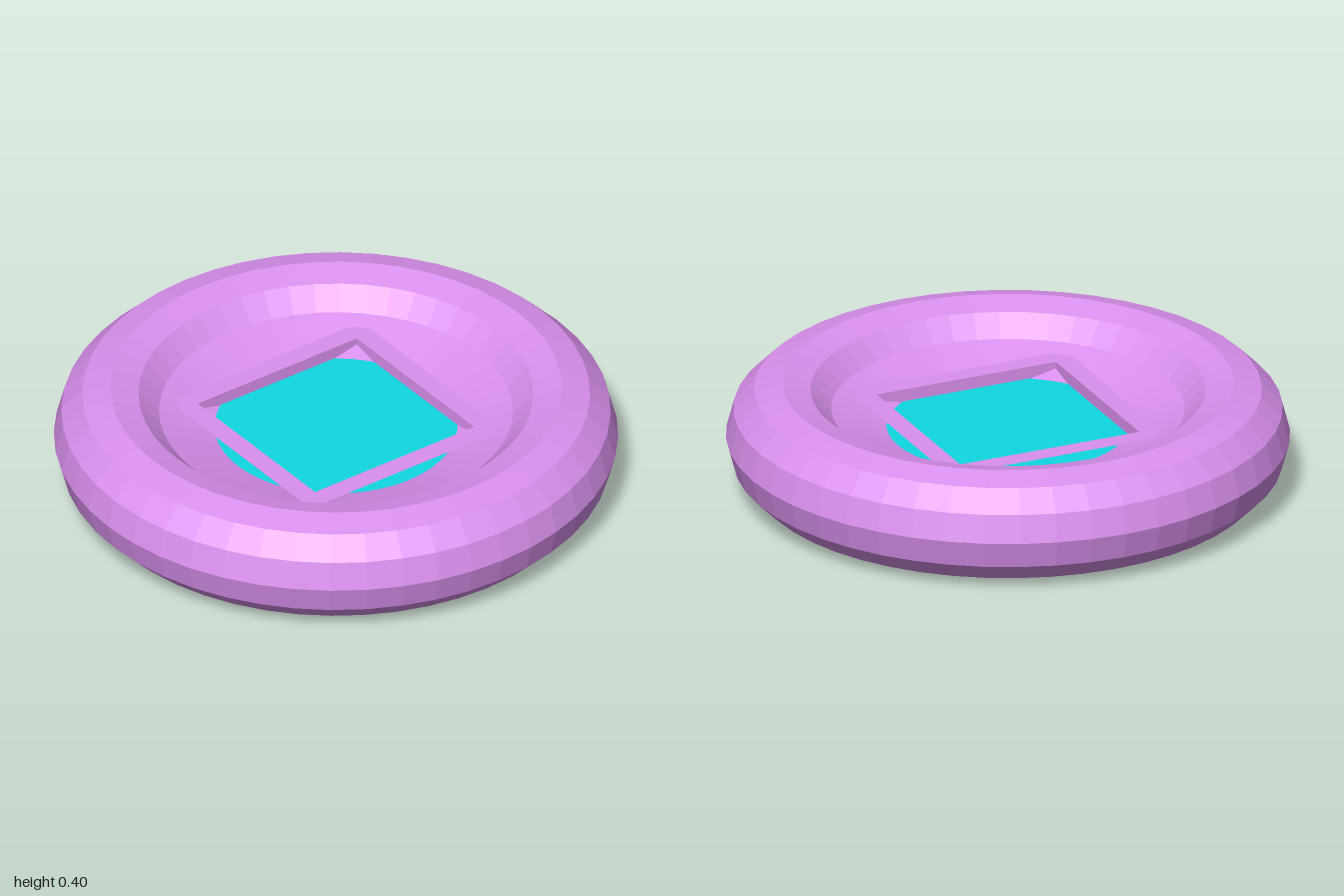
import * as THREE from 'three';

const SEGMENTS = 48;

function lathe(name, points, segments, material, phiStart = 0) {
  const profile = points.map(([r, y]) => new THREE.Vector2(r, y));
  const mesh = new THREE.Mesh(new THREE.LatheGeometry(profile, segments, phiStart), material);
  mesh.name = name;
  return mesh;
}

export function createModel() {
  const group = new THREE.Group();
  group.name = 'dish';
  const pink = new THREE.MeshStandardMaterial({ color: 0xda90ee, flatShading: true });
  const cyan = new THREE.MeshStandardMaterial({ color: 0x10d8e2, flatShading: true, side: THREE.DoubleSide });

  // Rounded rim: 12-sided tube section, from its bottom round to the inner lip
  const body = [];
  for (let i = -3; i <= 4; i++) {
    const a = (i * Math.PI) / 6;
    body.push([0.8 + 0.2 * Math.cos(a), 0.2 + 0.2 * Math.sin(a)]);
  }
  body.push([0.627, 0.3]);
  // Sloping bowl, hole wall and shallow conical underside
  body.push([0.24, 0.17], [0.24, 0.09], [0.8, 0]);
  group.add(lathe('body', body, SEGMENTS, pink));

  // Flat disc lying in the bowl
  const disc = new THREE.Mesh(new THREE.CircleGeometry(0.432, SEGMENTS), cyan);
  disc.name = 'centreDisc';
  disc.rotation.x = -Math.PI / 2;
  disc.position.y = 0.234;
  group.add(disc);

  // Square frame: flat top and inner wall, open on the outside
  const d = Math.SQRT2;
  const frame = [[0.425 * d, 0.28], [0.35 * d, 0.28], [0.35 * d, 0.235]];
  group.add(lathe('squareFrame', frame, 4, pink, Math.PI / 4));

  return group;
}
